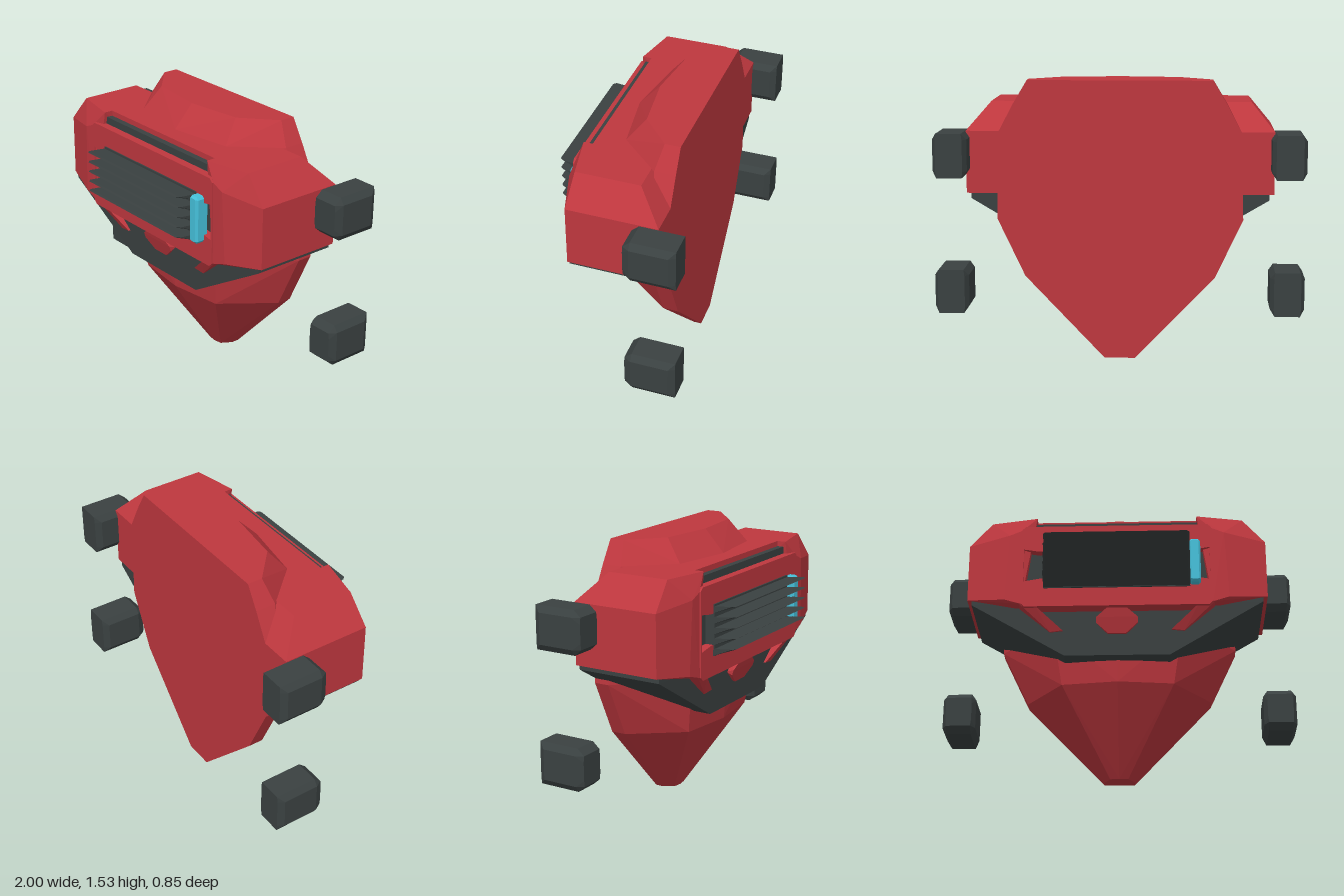
import * as THREE from 'three';
import { ConvexGeometry } from 'three/addons/geometries/ConvexGeometry.js';

export function createModel() {
  const root = new THREE.Group();
  const material = (name, color) => {
    const m = new THREE.MeshStandardMaterial({ color });
    m.name = name;
    return m;
  };
  const red = material('red armour', 0xbe373e);
  const dark = material('dark metal', 0x3a4141);
  const cyan = material('cyan trim', 0x45c0da);

  const add = (name, geometry, mat) => {
    const mesh = new THREE.Mesh(geometry, mat);
    mesh.name = name;
    root.add(mesh);
    return mesh;
  };
  // faceted solid around corner points
  const hull = (name, pts, mat) =>
    add(name, new ConvexGeometry(pts.map((p) => new THREE.Vector3(...p))), mat);
  const mirror = (pts) => pts.flatMap(([x, y, z]) => [[x, y, z], [-x, y, z]]);
  const pair = (name, pts, mat) => {
    hull('left ' + name, pts, mat);
    hull('right ' + name, pts.map(([x, y, z]) => [-x, y, z]), mat);
  };
  const box = (name, x0, x1, y0, y1, z0, z1, mat) =>
    add(name, new THREE.BoxGeometry(x1 - x0, y1 - y0, z1 - z0), mat)
      .position.set((x0 + x1) / 2, (y0 + y1) / 2, (z0 + z1) / 2);

  // shield-shaped torso: height, side width, side z, facet x, facet z, front z
  const back = -0.285;
  const sections = [
    [0, 0.085, -0.24, 0.05, -0.18, -0.172],
    [0.46, 0.52, -0.2, 0.31, 0.08, 0.12],
    [0.78, 0.67, -0.2, 0.36, 0.13, 0.16],
    [1.26, 0.655, -0.2, 0.4, 0.1, 0.18],
    [1.41, 0.575, -0.17, 0.36, 0.06, 0.115],
    [1.535, 0.5, -0.2, 0.32, -0.04, 0],
  ];
  hull('torso', sections.flatMap(([y, w, zs, xm, zm, zf]) => [
    ...mirror([[w, y, back], [w, y, zs], [xm, y, zm]]), [0, y, zf],
  ]), red);

  // shoulder blocks and the bridge between them
  pair('shoulder', [
    [0.45, 1.41, 0.26], [0.71, 1.41, 0.205], [0.71, 1.41, -0.15], [0.45, 1.41, -0.15],
    [0.835, 1.26, 0.215], [0.835, 1.26, back], [0.835, 0.92, 0.215], [0.835, 0.92, back],
    [0.53, 1.32, 0.285], [0.6, 1.29, 0.285], [0.53, 0.86, 0.285], [0.62, 0.89, 0.28],
    [0.45, 1.26, back], [0.45, 0.92, back], [0.53, 0.92, 0.2],
  ], red);
  box('bridge', -0.5, 0.5, 0.92, 1.41, -0.15, 0.21, red);

  // dark waist under the shoulders
  hull('waist', mirror([
    [0.81, 0.92, 0.215], [0.81, 0.89, 0.215], [0.29, 0.58, 0.205],
    [0.81, 0.92, -0.28], [0.81, 0.89, -0.28], [0.29, 0.58, -0.1], [0.6, 0.765, -0.28],
  ]), dark);
  box('grille recess', -0.525, 0.525, 0.86, 1.38, 0.2, 0.245, dark);

  // red frame around the grille
  const outline = (pts, Type) => new Type(pts.map((p) => new THREE.Vector2(...p)));
  const frame = outline([
    [-0.51, 0.84], [0.51, 0.84], [0.53, 0.86], [0.53, 1.32], [0.51, 1.34],
    [-0.51, 1.34], [-0.53, 1.32], [-0.53, 0.86],
  ], THREE.Shape);
  frame.holes.push(outline([
    [-0.518, 0.995], [-0.518, 1.195], [-0.43, 1.18], [0.43, 1.18],
    [0.518, 1.195], [0.518, 0.995], [0.43, 1.01], [-0.43, 1.01],
  ], THREE.Path));
  add('grille frame', new THREE.ExtrudeGeometry(frame, { depth: 0.075, bevelEnabled: false }), red)
    .position.z = 0.217;

  // grille backing with five tapering blades
  box('grille backing', -0.405, 0.405, 0.95, 1.23, 0.24, 0.3, dark);
  for (let i = 0; i < 5; i++) {
    const y = 1.23 - i * 0.0575;
    const pts = [];
    for (const s of [-1, 1]) {
      pts.push([s * 0.405, y - 0.012, 0.29], [s * 0.405, y - 0.05, 0.29],
        [s * 0.405, y, 0.405], [s * 0.39, y, 0.422]);
    }
    hull('grille blade', pts, dark);
  }

  // upright cyan bar with softened edges
  const bar = [];
  for (const [z, e] of [[0.27, 0], [0.33, 0], [0.342, 0.01]]) {
    for (const x of [0.402 + e, 0.465 - e]) {
      for (const [y, dx] of [[0.96 + e, 0.012], [0.975, 0], [1.21, 0], [1.225 - e, 0.012]]) {
        bar.push([x + (x < 0.43 ? dx : -dx), y, z]);
      }
    }
  }
  hull('light bar', bar, cyan);

  // raised hexagon and slanted fins below the grille
  hull('centre stud', mirror([
    [0.05, 0.845, 0.265], [0.115, 0.79, 0.25], [0.115, 0.76, 0.24], [0.05, 0.705, 0.222],
    [0.05, 0.845, 0.2], [0.115, 0.775, 0.2], [0.05, 0.705, 0.2],
  ]), red);
  pair('fin', [
    [0.54, 0.865, 0.28], [0.45, 0.85, 0.28], [0.3, 0.725, 0.222], [0.37, 0.718, 0.218],
    [0.54, 0.86, 0.2], [0.45, 0.85, 0.2], [0.3, 0.725, 0.2], [0.37, 0.718, 0.2],
  ], red);

  // four bevelled side pads
  for (const y of [1.14, 0.4]) {
    const pts = [];
    for (const [z, ex, ey] of [[-0.425, 0.02, 0], [-0.39, 0, 0], [-0.185, 0, 0], [-0.145, 0.02, 0.035]]) {
      const w = 0.0925 - ex, h = 0.12 - ey;
      for (const sx of [-1, 1]) {
        for (const sy of [-1, 1]) {
          pts.push([0.9075 + sx * w, y + sy * (h - 0.035), z]);
          pts.push([0.9075 + sx * Math.min(w, 0.068), y + sy * h, z]);
        }
      }
    }
    pair(y > 1 ? 'upper pad' : 'lower pad', pts, dark);
  }
  return root;
}
